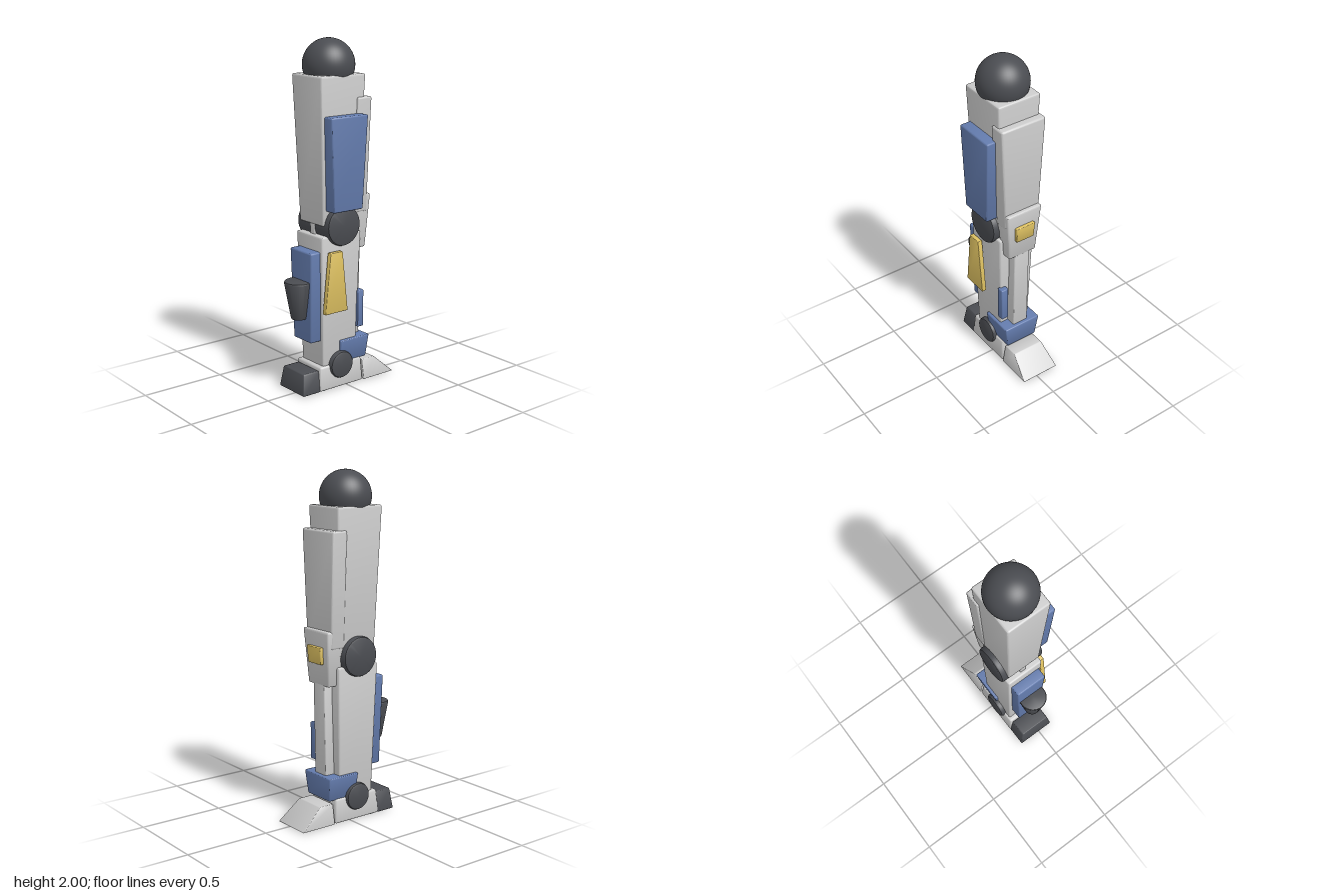
import * as THREE from 'three';
import { RoundedBoxGeometry } from 'three/addons/geometries/RoundedBoxGeometry.js';
import { toCreasedNormals } from 'three/addons/utils/BufferGeometryUtils.js';

const GREY = 0xcccccc, DARK = 0x4b4d52, BLUE = 0x647cae, YELLOW = 0xdfc262, TEAL = 0x2f5f63;
const CX = -0.023; // centre line of the leg
const CZ = 0.046;  // depth of the joint axes

const materials = {};
const material = (color) => (materials[color] ??= new THREE.MeshStandardMaterial({ color }));

function addMesh(group, name, geometry, color, x = 0, y = 0, z = 0) {
  const mesh = new THREE.Mesh(geometry, material(color));
  mesh.name = name;
  mesh.position.set(x, y, z);
  group.add(mesh);
  return mesh;
}

// A value along the height: one number, or a [bottom, top] pair
const along = (value, t) => (Array.isArray(value) ? THREE.MathUtils.lerp(value[0], value[1], t) : value);

// Bevelled block whose width, centre x, back z and front z may change from bottom to top
function taperedBlock({ y: [y0, y1], width, back, front, x = CX, bevel = 0.012 }) {
  const height = y1 - y0;
  const w = Math.max(along(width, 0), along(width, 1));
  const d = Math.max(along(front, 0) - along(back, 0), along(front, 1) - along(back, 1));
  const geometry = new RoundedBoxGeometry(w, height, d, 2, bevel);
  const p = geometry.attributes.position;
  for (let i = 0; i < p.count; i++) {
    const t = p.getY(i) / height + 0.5;
    p.setXYZ(i,
      along(x, t) + (p.getX(i) / w) * along(width, t),
      y0 + t * height,
      THREE.MathUtils.lerp(along(back, t), along(front, t), p.getZ(i) / d + 0.5));
  }
  return toCreasedNormals(geometry, 0.6);
}

// Turned solid with bevelled rims, centred on the y axis
function turned(rBottom, rTop, height, bevel) {
  const rim = (r, end) => [[r - bevel, 0], [r - bevel * 0.3, bevel * 0.3], [r, bevel]]
    .map(([radius, inset]) => new THREE.Vector2(radius, end * (height / 2 - inset)));
  const points = [new THREE.Vector2(0, -height / 2), ...rim(rBottom, -1),
    ...rim(rTop, 1).reverse(), new THREE.Vector2(0, height / 2)];
  return toCreasedNormals(new THREE.LatheGeometry(points, 40), 0.6);
}

export function createModel() {
  const leg = new THREE.Group();
  leg.name = 'robotLeg';
  const block = (name, color, shape) => addMesh(leg, name, taperedBlock(shape), color);
  const joint = (name, radius, width, y) => {
    addMesh(leg, name, turned(radius, radius, width, 0.014), DARK, CX, y, CZ).rotation.z = Math.PI / 2;
  };

  // Joints
  addMesh(leg, 'hipBall', new THREE.SphereGeometry(0.147, 48, 32), DARK, CX, 1.853, 0.045);
  joint('kneeJoint', 0.115, 0.29, 0.965);
  joint('ankleJoint', 0.08, 0.26, 0.138);

  // Thigh
  block('thigh', GREY, { y: [0.972, 1.805], width: [0.215, 0.272], back: [-0.08, -0.11], front: [0.17, 0.2] });
  block('thighBackPlate', GREY, { y: [1.02, 1.677], width: [0.225, 0.287], back: [-0.14, -0.15], front: -0.05 });
  block('thighSidePanel', BLUE, {
    y: [1.057, 1.587], x: [0.115, 0.132], width: [0.09, 0.075], back: [-0.055, -0.083], front: [0.15, 0.175], bevel: 0.01,
  });

  // Knee
  block('kneeLink', GREY, { y: [0.88, 1], width: 0.04, back: 0.05, front: 0.165, bevel: 0.006 });
  block('kneeBackBlock', GREY, { y: [0.805, 1.122], width: [0.185, 0.234], back: [-0.146, -0.167], front: -0.06 });
  block('kneeBackBadge', YELLOW, {
    y: [0.932, 1.03], width: [0.117, 0.127], back: [-0.174, -0.181], front: -0.13, bevel: 0.006,
  });

  // Shin
  block('shin', GREY, { y: [0.13, 0.914], width: [0.195, 0.239], back: [-0.07, -0.094], front: [0.165, 0.187] });
  block('calfStrut', GREY, { y: [0.13, 0.83], width: 0.102, back: [-0.131, -0.145], front: -0.04, bevel: 0.008 });
  block('calfSidePanel', BLUE, { y: [0.34, 0.56], x: 0.074, width: 0.048, back: -0.115, front: -0.071, bevel: 0.006 });
  block('shinFrontPanel', BLUE, {
    y: [0.295, 0.827], width: [0.159, 0.198], back: [0.15, 0.165], front: [0.24, 0.248], bevel: 0.01,
  });
  block('shinSidePlate', YELLOW, {
    y: [0.475, 0.827], x: 0.121, width: 0.028, back: [0.033, 0.07], front: [0.193, 0.155], bevel: 0.004,
  });
  addMesh(leg, 'shinCone', turned(0.046, 0.083, 0.226, 0.01), DARK, CX, 0.543, 0.262);

  // Ankle and foot
  block('ankleGuard', BLUE, {
    y: [0.14, 0.28], width: [0.203, 0.243], back: [-0.148, -0.158], front: [0.04, 0.05], bevel: 0.008,
  });
  block('foot', GREY, { y: [0.004, 0.147], width: [0.238, 0.22], back: [-0.114, -0.106], front: [0.205, 0.193] });
  block('toe', DARK, { y: [0.004, 0.128], width: [0.234, 0.194], back: 0.195, front: [0.32, 0.304], bevel: 0.008 });
  block('heel', GREY, { y: [0.004, 0.122], width: [0.242, 0.198], back: [-0.345, -0.212], front: -0.12, bevel: 0.005 });

  // Round pads under the sole
  for (const side of [-1, 1]) {
    addMesh(leg, 'solePad', new THREE.CylinderGeometry(0.035, 0.035, 0.012, 24), TEAL, CX + side * 0.07, 0.006, 0.165);
  }
  return leg;
}
